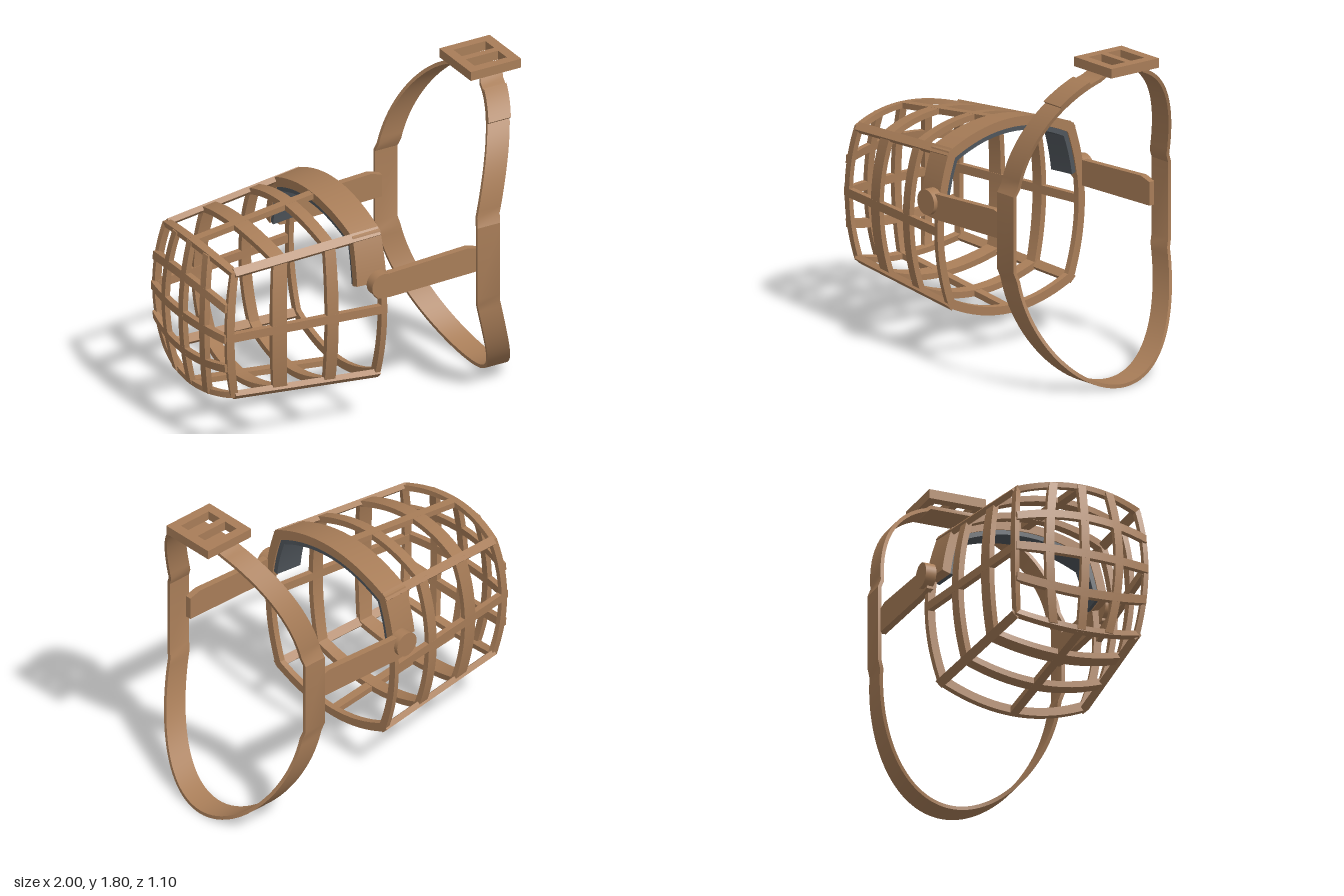
import * as THREE from 'three';
import { toCreasedNormals } from 'three/addons/utils/BufferGeometryUtils.js';

const lerp = THREE.MathUtils.lerp;
const V = (x, y, z) => new THREE.Vector3(x, y, z);
const CY = 0.735; // height of the basket axis

// Sweeps a four-cornered section; section(t) returns its corners for t in 0..1
function sweep(section, n, closed = false) {
  const pos = [], idx = [], rows = closed ? n : n + 1;
  for (let i = 0; i < rows; i++) section(i / n).forEach(p => pos.push(p.x, p.y, p.z));
  for (let i = 0; i < n; i++) {
    const a = i * 4, b = ((i + 1) % rows) * 4;
    for (let k = 0; k < 4; k++) {
      const m = (k + 1) % 4;
      idx.push(a + k, b + k, b + m, a + k, b + m, a + m);
    }
  }
  if (!closed) {
    const e = n * 4;
    idx.push(0, 1, 2, 0, 2, 3, e, e + 2, e + 1, e, e + 3, e + 2);
  }
  // turn the faces outward if the swept volume is negative
  const at = i => V(pos[i * 3], pos[i * 3 + 1], pos[i * 3 + 2]);
  let volume = 0;
  for (let i = 0; i < idx.length; i += 3) volume += at(idx[i]).dot(at(idx[i + 1]).cross(at(idx[i + 2])));
  if (volume < 0) idx.reverse();
  const g = new THREE.BufferGeometry();
  g.setAttribute('position', new THREE.Float32BufferAttribute(pos, 3));
  g.setIndex(idx);
  return toCreasedNormals(g, 0.4);
}

// Basket surface: u runs round four bowed edges (whole numbers are corners)
function basket(u, x, inset = 0) {
  u = ((u % 4) + 4) % 4;
  const t = (x + 0.95) / 0.92, e = Math.floor(u), v = 2 * (u - e) - 1, c = v * v;
  const cz = lerp(0.355, 0.425, t), cy = lerp(0.37, 0.43, t);
  const h = lerp(lerp(0.425, 0.535, t), cy, c), s = lerp(lerp(0.385, 0.505, t), cz, c);
  const [y, z] = [[h, -v * cz], [-v * cy, -s], [-h, v * cz], [v * cy, s]][e];
  const k = 1 - inset / 0.47;
  return V(x - 0.05 * x * c, CY + y * k, z * k);
}

// Hoop or part of a hoop lying in the basket surface
function hoop(x0, x1, outer, inner, u0 = 0, u1 = 4, n = 80) {
  return sweep(t => {
    const u = lerp(u0, u1, t);
    return [basket(u, x0, outer), basket(u, x1, outer), basket(u, x1, inner), basket(u, x0, inner)];
  }, n, u1 - u0 === 4);
}

// Straight lengthwise bar of the basket
function rail(u) {
  return sweep(t => {
    const p = basket(u, lerp(-0.925, -0.03, t));
    const r = V(0, p.y - CY, p.z).normalize();
    const w = V(0, -r.z, r.y).multiplyScalar(0.024);
    const q = p.clone().addScaledVector(r, -0.032);
    return [p.clone().add(w), p.clone().sub(w), q.clone().sub(w), q.clone().add(w)];
  }, 1);
}

// Curved bar on the domed nose; vertical bars are offset in z, the others in y
function noseBar(offset, vertical) {
  const bend = 0.2, end = offset * (1 - bend);
  const reach = vertical ? 0.42 - 0.055 * (end / 0.355) ** 2 : 0.38 - 0.03 * (end / 0.37) ** 2;
  const point = (a, b, depth) => V(-1 + 0.3 * (a * a + b * b) + depth, CY + (vertical ? a : b), vertical ? b : a);
  return sweep(t => {
    const a = lerp(-reach, reach, t), b = offset * (1 - bend * (a / reach) ** 2);
    return [point(a, b - 0.023, 0), point(a, b + 0.023, 0), point(a, b + 0.023, 0.032), point(a, b - 0.023, 0.032)];
  }, 20);
}

// Neck strap: outline in z and y, leaning back away from the middle
const upper = a => [0.51 * Math.cos(a), 1.1 + 0.64 * Math.sin(a)];
const lower = a => [0.515 * Math.cos(a), 0.65 - 0.64 * Math.sin(a)];
const strapX = y => {
  const d = Math.max(0, y - 1.09, 0.66 - y);
  return 0.508 + 0.21 * d + 0.3 * d * d;
};

function strap(points, closed, from = -0.01, to = 0.01) {
  const n = points.length;
  return sweep(t => {
    const i = Math.round(t * (closed ? n : n - 1));
    const [z, y] = points[i];
    const p = points[closed ? (i + n - 1) % n : Math.max(i - 1, 0)];
    const q = points[closed ? (i + 1) % n : Math.min(i + 1, n - 1)];
    const out = new THREE.Vector2(q[1] - p[1], p[0] - q[0]).normalize();
    if (out.x * z + out.y * (y - 0.9) < 0) out.negate();
    const x = strapX(y);
    const at = (dx, o) => V(x + dx, y + out.y * o, z + out.x * o);
    return [at(0, from), at(0.138, from), at(0.138, to), at(0, to)];
  }, closed ? n : n - 1, closed);
}

export function createModel() {
  const model = new THREE.Group();
  const tan = new THREE.MeshStandardMaterial({ color: 0xa87d58 });
  tan.name = 'tan leather';
  const grey = new THREE.MeshStandardMaterial({ color: 0x50565c });
  grey.name = 'grey padding';
  const add = (name, geometry, material = tan) => {
    const mesh = new THREE.Mesh(geometry, material);
    mesh.name = name;
    model.add(mesh);
    return mesh;
  };

  // Basket hoops, from nose to opening
  add('noseHoop', hoop(-0.945, -0.9, 0, 0.032));
  add('frontHoop', hoop(-0.685, -0.6, 0, 0.032));
  add('middleHoop', hoop(-0.37, -0.305, 0, 0.032));
  add('openingHoop', hoop(-0.06, -0.028, 0, 0.04));

  // Lengthwise bars and nose grid
  for (let i = 0; i < 8; i++) add('basketRail', rail(i / 2));
  for (const o of [-0.2, 0, 0.2]) add('noseUprightBar', noseBar(o, true));
  for (const o of [-0.22, 0, 0.22]) add('noseCrossBar', noseBar(o, false));

  // Wide band over the bridge with a padded lining
  add('bridgeBand', hoop(-0.197, -0.027, -0.003, 0.043, -0.31, 1.31, 162));
  add('bridgePadding', hoop(-0.19, -0.035, 0.043, 0.066, -0.3, 1.3, 32), grey);

  // Side arms and rivets
  const armShape = new THREE.Shape([[-0.1, 0.82], [-0.02, 0.812], [0.53, 0.825], [0.53, 0.955], [0.46, 0.975], [-0.02, 0.952], [-0.1, 0.95]]
    .map(p => new THREE.Vector2(...p)));
  for (const side of [1, -1]) {
    const arm = add(side > 0 ? 'leftArm' : 'rightArm',
      new THREE.ExtrudeGeometry(armShape, { depth: 0.038, bevelEnabled: false }));
    arm.position.z = side > 0 ? 0.486 : -0.524;
    const rivet = add(side > 0 ? 'leftRivet' : 'rightRivet', new THREE.CylinderGeometry(0.07, 0.07, 0.06, 32));
    rivet.rotation.x = Math.PI / 2;
    rivet.position.set(-0.075, 0.9, side * 0.518);
  }

  // Neck strap loop
  const half = [[0.12, 1.738]];
  for (let i = 0; i <= 20; i++) half.push(upper(lerp(1.27, 0.05, i / 20)));
  half.push([0.53, 1.085], [0.53, 0.665]);
  for (let i = 0; i <= 24; i++) half.push(lower(lerp(0.05, 1.52, i / 24)));
  const loop = [...half, [0, 0.01], ...half.map(([z, y]) => [-z, y]).reverse()];
  add('neckStrap', strap(loop, true));

  // Loose strap end lying over the left side
  const tail = [];
  for (let i = 0; i <= 8; i++) tail.push(upper(lerp(1.17, 0.83, i / 8)));
  add('strapEnd', strap(tail, false, 0.008, 0.026));

  // Buckle with two slots
  const rect = (Type, x0, x1, z0, z1) =>
    new Type([[x0, z0], [x1, z0], [x1, z1], [x0, z1]].map(p => new THREE.Vector2(...p)));
  const plate = rect(THREE.Shape, 0.69, 1.0, -0.163, 0.163);
  plate.holes.push(rect(THREE.Path, 0.745, 0.943, 0.02, 0.11), rect(THREE.Path, 0.745, 0.943, -0.11, -0.02));
  const buckle = add('buckle', new THREE.ExtrudeGeometry(plate, { depth: 0.052, bevelEnabled: false }));
  buckle.rotation.x = -Math.PI / 2;
  buckle.position.y = 1.75;

  return model;
}
